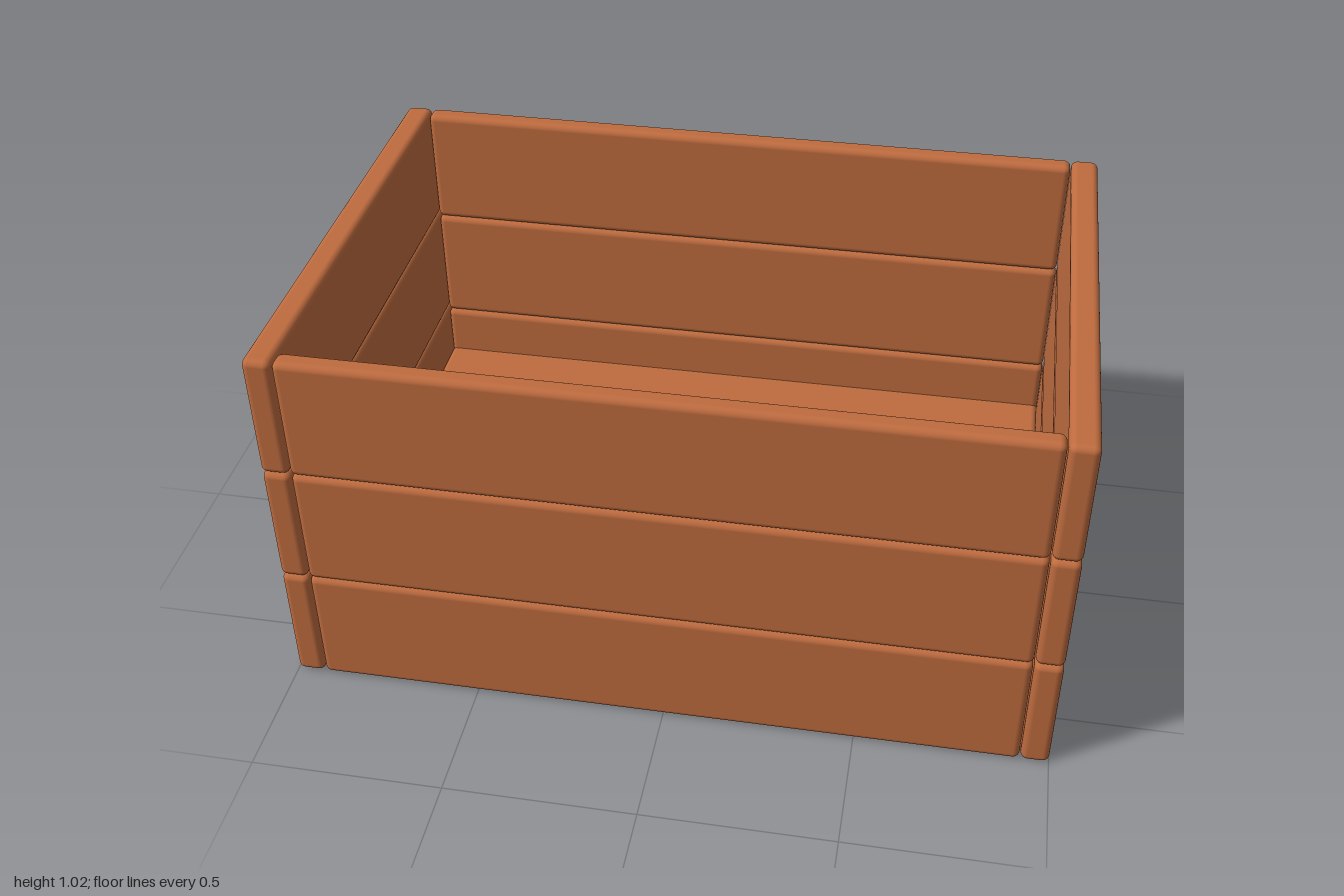
import * as THREE from 'three';
import { RoundedBoxGeometry } from 'three/addons/geometries/RoundedBoxGeometry.js';

const wood = new THREE.MeshStandardMaterial({ color: 0xbf6c3f });

// One softly rounded board
function board(name, size, position) {
  const mesh = new THREE.Mesh(new RoundedBoxGeometry(...size, 3, 0.018), wood);
  mesh.name = name;
  mesh.position.set(...position);
  return mesh;
}

export function createModel() {
  const crate = new THREE.Group();
  crate.name = 'woodenCrate';

  const rows = 3, rowHeight = 0.339;
  const endThickness = 0.073, sideThickness = 0.057;
  const length = 1.85, depth = 1.325;

  // Walls: three stacked boards on each of the four sides
  for (let i = 0; i < rows; i++) {
    const y = (i + 0.5) * rowHeight;
    for (const s of [1, -1]) {
      crate.add(board(s > 0 ? 'leftEndBoard' : 'rightEndBoard',
        [endThickness, rowHeight, depth], [s * (1 - endThickness / 2), y, 0]));
      crate.add(board(s > 0 ? 'frontBoard' : 'backBoard',
        [length, rowHeight, sideThickness], [0, y, s * (depth - sideThickness) / 2]));
    }
  }

  // Floor: six slats raised above the ground, the rearmost set into the back wall
  const slats = 6, pitch = 0.211;
  for (let i = 0; i < slats; i++) {
    crate.add(board('floorSlat', [length, 0.06, pitch - 0.002], [0, 0.165, -0.555 + i * pitch]));
  }
  return crate;
}
